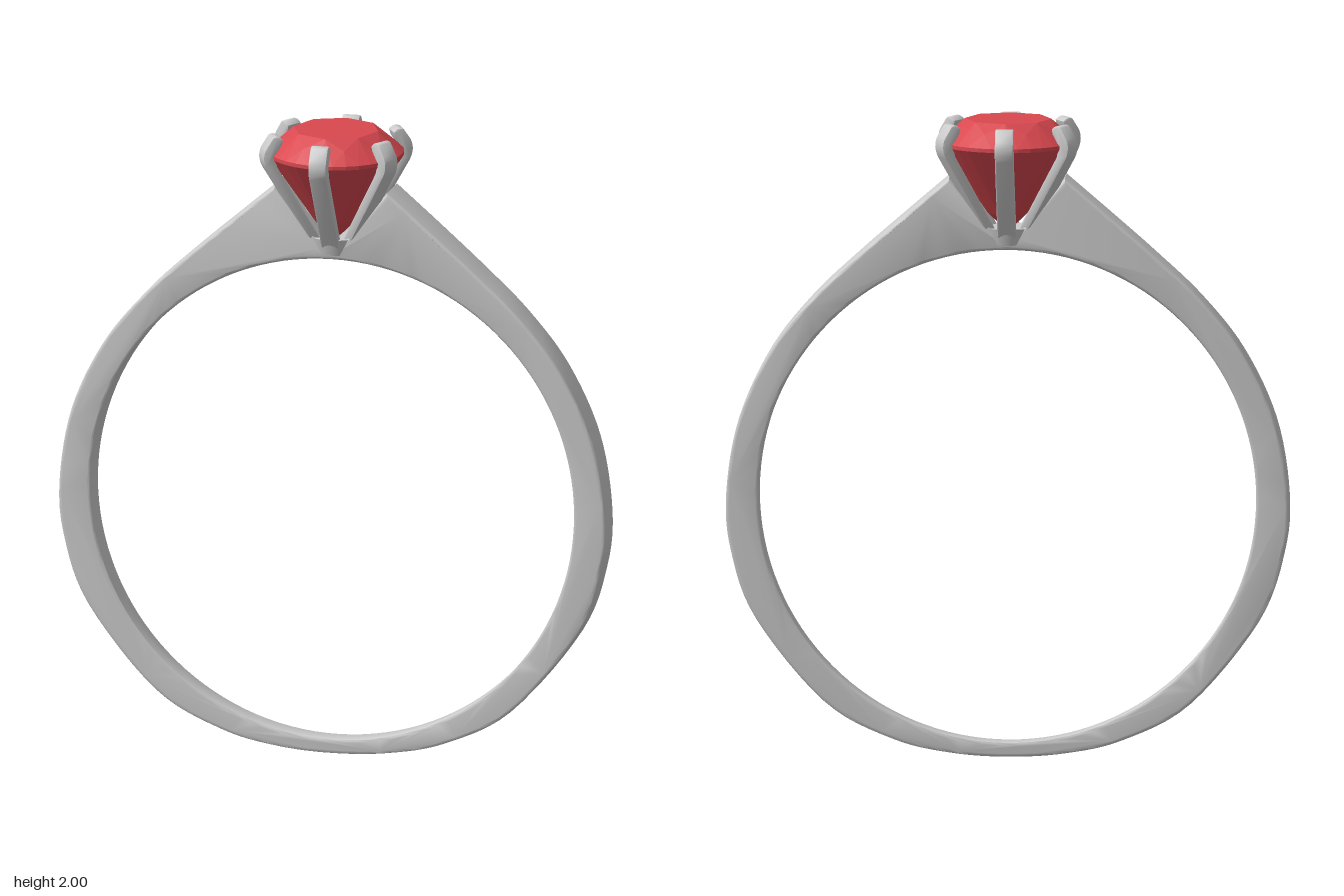
import * as THREE from 'three';
import { toCreasedNormals } from 'three/addons/utils/BufferGeometryUtils.js';
import { ConvexGeometry } from 'three/addons/geometries/ConvexGeometry.js';

const metal = new THREE.MeshStandardMaterial({ color: 0xcccccc });
const red = new THREE.MeshStandardMaterial({ color: 0xd9484f, flatShading: true });

function part(name, geometry, material = metal) {
  const mesh = new THREE.Mesh(geometry, material);
  mesh.name = name;
  return mesh;
}

// Band: round finger hole, outline rising into two shoulders, narrower toward the bottom
function bandGeometry() {
  const half = [
    [0.18, 1.82], [0.32, 1.7], [0.465, 1.573], [0.605, 1.44], [0.735, 1.275], [0.835, 1.06], [0.875, 0.825],
    [0.86, 0.64], [0.783, 0.43], [0.57, 0.17], [0.36, 0.055], [0.18, 0.012],
  ];
  const points = [...half, [0, 0], ...half.map(([x, y]) => [-x, y]).reverse()]
    .map(([x, y]) => new THREE.Vector2(x, y));
  const outline = new THREE.SplineCurve(points).getPoints(144);
  // V-shaped seat for the stone
  outline.push(new THREE.Vector2(-0.03, 1.64), new THREE.Vector2(0.03, 1.64));
  const shape = new THREE.Shape(outline);
  const hole = new THREE.EllipseCurve(0, 0.82, 0.775, 0.775, 0, Math.PI * 2).getPoints(128);
  shape.holes.push(new THREE.Path(hole.slice(0, -1)));

  const bevel = 0.01;
  const geo = new THREE.ExtrudeGeometry(shape, {
    depth: 0.14 - 2 * bevel, bevelThickness: bevel, bevelSize: bevel, bevelOffset: -bevel, bevelSegments: 3,
  });
  geo.translate(0, 0, bevel - 0.07);
  const pos = geo.attributes.position;
  for (let i = 0; i < pos.count; i++) {
    const t = Math.min(pos.getY(i) / 1.7, 1);
    pos.setZ(i, pos.getZ(i) * THREE.MathUtils.lerp(0.53, 1, t));
  }
  return toCreasedNormals(geo, 0.6);
}

// Prong: side profile (radius, height) extruded to its width, with a hooked tip
function prongGeometry() {
  const shape = new THREE.Shape();
  shape.moveTo(0.04, 1.63);
  shape.lineTo(0.074, 1.63);
  shape.lineTo(0.232, 1.89);
  shape.quadraticCurveTo(0.25, 1.925, 0.235, 1.955);
  shape.lineTo(0.212, 1.99);
  shape.quadraticCurveTo(0.195, 2.0, 0.178, 1.982);
  shape.lineTo(0.182, 1.965);
  shape.lineTo(0.205, 1.93);
  shape.lineTo(0.196, 1.895);
  const geo = new THREE.ExtrudeGeometry(shape, {
    depth: 0.046, bevelThickness: 0.006, bevelSize: 0.006, bevelOffset: -0.006, bevelSegments: 2, curveSegments: 6,
  });
  geo.translate(0, 0, -0.023);
  return toCreasedNormals(geo, 0.6);
}

// Brilliant cut: table, crown, round girdle, pavilion and point
function gemGeometry() {
  const points = [new THREE.Vector3(0, 1.645, 0)];
  const ring = (count, r, y, shift = 0) => {
    for (let i = 0; i < count; i++) {
      const a = (i + shift) / count * Math.PI * 2;
      points.push(new THREE.Vector3(Math.sin(a) * r, y, Math.cos(a) * r));
    }
  };
  ring(8, 0.135, 2);
  ring(8, 0.17, 1.97, 0.5);
  ring(32, 0.212, 1.932);
  ring(32, 0.212, 1.92);
  ring(8, 0.065, 1.705, 0.5);
  return new ConvexGeometry(points);
}

export function createModel() {
  const ring = new THREE.Group();
  ring.name = 'ring';
  ring.add(part('band', bandGeometry()));
  ring.add(part('gemstone', gemGeometry(), red));

  // Cup under the stone
  const cup = part('settingCup', new THREE.CylinderGeometry(0.088, 0.074, 0.052, 32));
  cup.position.y = 1.636;
  ring.add(cup);

  // Six prongs around the stone
  const prongs = new THREE.Group();
  prongs.name = 'prongs';
  const prong = prongGeometry();
  for (let i = 0; i < 6; i++) {
    const mesh = part('prong', prong);
    mesh.rotation.y = Math.PI / 6 + i * Math.PI / 3;
    prongs.add(mesh);
  }
  ring.add(prongs);
  return ring;
}
